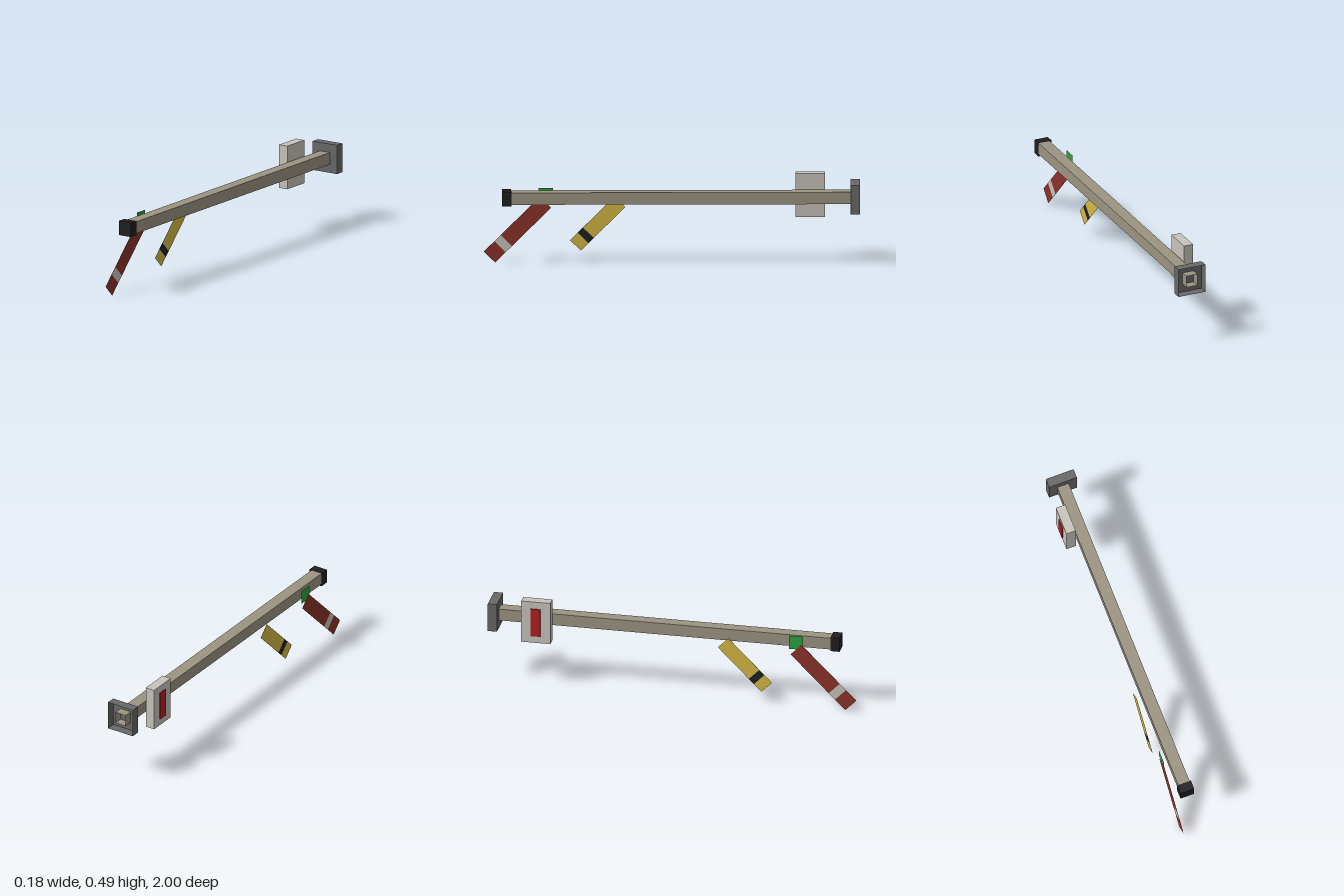
import * as THREE from 'three';

const mat = (color) => new THREE.MeshStandardMaterial({ color, flatShading: true, side: THREE.DoubleSide });
const TAN = mat(0x9c9482), BLACK = mat(0x1f1f22), GREY = mat(0x686868), PALE = mat(0xc8c4bc);
const RED = mat(0x8b3229), YELLOW = mat(0xd4b843), GREEN = mat(0x2ca03c), SIGNAL = mat(0xb02020);

const AXIS_X = 0.009, AXIS_Y = 0.366; // centre line of the beam
const ARM_X = -0.05;                  // plane of the flat arms beside the beam

// Box given by its limits; openBack drops the -z face
function box(name, material, [x0, x1], [y0, y1], [z0, z1], openBack = false) {
  const geo = new THREE.BoxGeometry(x1 - x0, y1 - y0, z1 - z0);
  if (openBack) {
    geo.setIndex(Array.from(geo.index.array).slice(0, 30));
    geo.clearGroups();
  }
  const mesh = new THREE.Mesh(geo, material);
  mesh.name = name;
  mesh.position.set((x0 + x1) / 2, (y0 + y1) / 2, (z0 + z1) / 2);
  return mesh;
}

// Hollow square section around the beam's centre line
function sleeve(name, material, size, z) {
  const h = size / 2;
  return box(name, material, [AXIS_X - h, AXIS_X + h], [AXIS_Y - h, AXIS_Y + h], z, true);
}

// Flat arm leaning back at 45 degrees, with one contrasting band
function arm(name, y, z, width, length, band, color, bandColor) {
  const group = new THREE.Group();
  group.name = name;
  const stops = [0, band[0], band[1], length];
  for (let i = 0; i < 3; i++) {
    const part = i === 1 ? 'Band' : i === 0 ? 'Tip' : 'Blade';
    group.add(box(name + part, i === 1 ? bandColor : color,
      [-0.0005, 0.0005], [stops[i], stops[i + 1]], [-width / 2, width / 2]));
  }
  group.position.set(ARM_X, y, z);
  group.rotation.x = -Math.PI / 4;
  return group;
}

export function createModel() {
  const model = new THREE.Group();
  model.name = 'boomWithArms';

  // Beam, front cap and open rear flange
  model.add(sleeve('beam', TAN, 0.065, [-0.999, 0.89]));
  model.add(sleeve('frontCap', BLACK, 0.078, [0.855, 0.905]));
  model.add(sleeve('rearFlange', GREY, 0.158, [-1, -0.95]));

  // Side housing with its red panel
  model.add(box('sideHousing', PALE, [-0.083, -0.03], [0.248, 0.485], [-0.815, -0.657]));
  model.add(box('housingPanel', SIGNAL, [-0.089, -0.083], [0.287, 0.445], [-0.763, -0.711]));

  // Flat pivot plate
  const plate = new THREE.Mesh(new THREE.PlaneGeometry(0.077, 0.077), GREEN);
  plate.name = 'pivotPlate';
  plate.rotation.y = -Math.PI / 2;
  plate.position.set(ARM_X, AXIS_Y + 0.001, 0.672);
  model.add(plate);

  // Banded arms
  model.add(arm('longArm', 0.03, 0.97, 0.085, 0.42, [0.079, 0.127], RED, PALE));
  model.add(arm('shortArm', 0.0925, 0.513, 0.081, 0.335, [0.058, 0.097], YELLOW, BLACK));

  return model;
}
